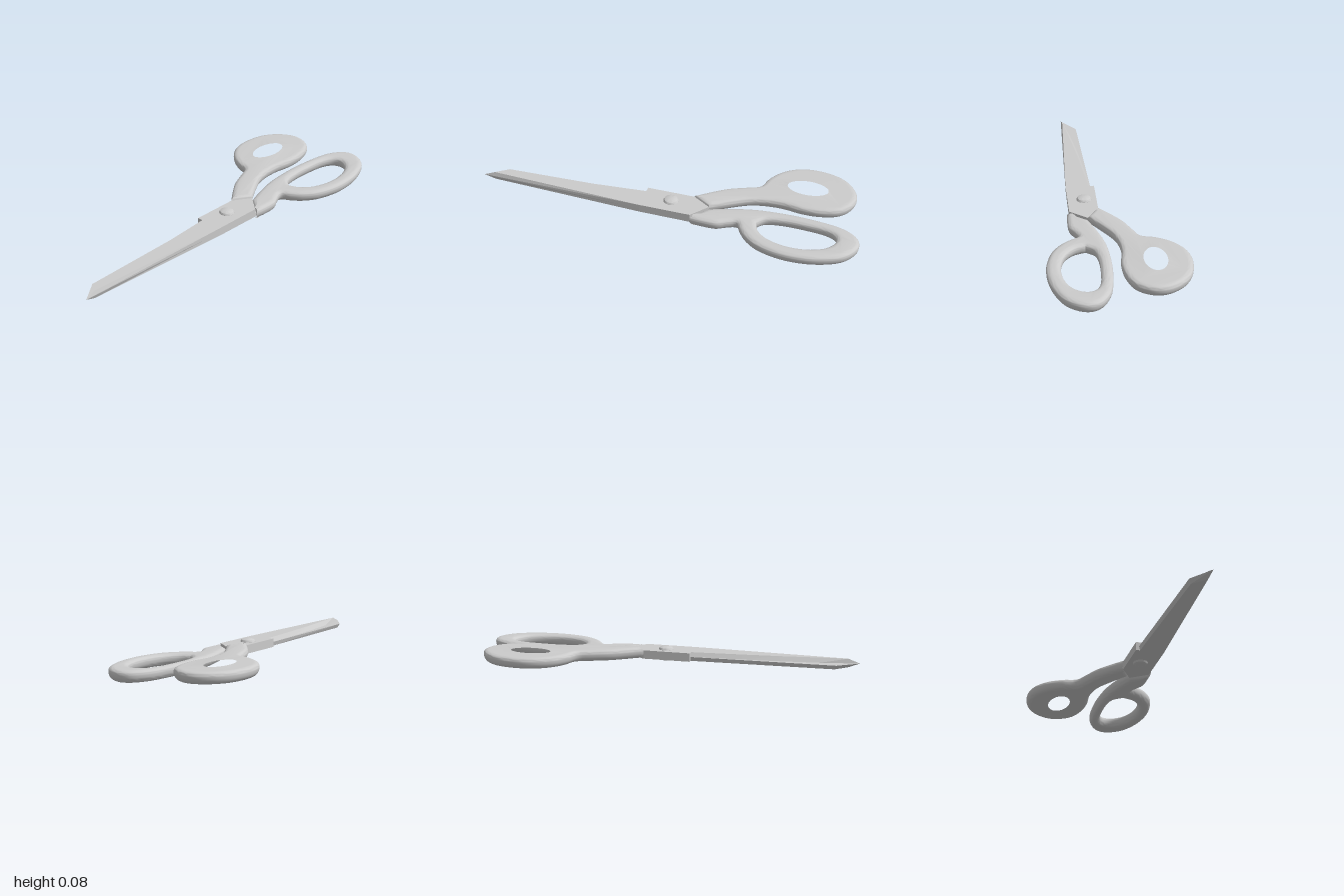
import * as THREE from 'three';
import { toCreasedNormals } from 'three/addons/utils/BufferGeometryUtils.js';

const metal = new THREE.MeshStandardMaterial({ color: 0xcccccc });

// Plan outlines are [x, z]; shapes are drawn with -z up and laid flat
const flat = (pts) => pts.map(([x, z]) => new THREE.Vector2(x, -z));

// Flat-sided solid between a lower and an upper outline of equal length
function slab(name, lower, upper, y0, y1) {
  const pos = [];
  const n = lower.length;
  const lo = (i) => [lower[i % n][0], y0, lower[i % n][1]];
  const hi = (i) => [upper[i % n][0], y1, upper[i % n][1]];
  const tri = (a, b, c) => pos.push(...a, ...b, ...c);
  for (let i = 0; i < n; i++) {
    tri(lo(i), lo(i + 1), hi(i + 1));
    tri(lo(i), hi(i + 1), hi(i));
  }
  for (const [a, b, c] of THREE.ShapeUtils.triangulateShape(flat(upper), [])) tri(hi(a), hi(b), hi(c));
  for (const [a, b, c] of THREE.ShapeUtils.triangulateShape(flat(lower), [])) tri(lo(c), lo(b), lo(a));
  const geo = new THREE.BufferGeometry();
  geo.setAttribute('position', new THREE.Float32BufferAttribute(pos, 3));
  geo.computeVertexNormals();
  const mesh = new THREE.Mesh(geo, metal);
  mesh.name = name;
  return mesh;
}

// Rounded grip with a finger hole; the underside is rounded deeper than the top
function handle(name, outline, hole, y0, height) {
  const pts = flat(outline);
  const shape = new THREE.Shape();
  shape.moveTo(pts[0].x, pts[0].y);
  shape.splineThru(pts.slice(1));
  shape.closePath();
  const loop = new THREE.SplineCurve([...flat(hole), flat(hole)[0]]).getPoints(60);
  shape.holes.push(new THREE.Path(loop.slice(0, -1)));
  const bevel = 0.028;
  let geo = new THREE.ExtrudeGeometry(shape, {
    depth: 0.01, curveSegments: 4, bevelThickness: bevel, bevelSize: bevel,
    bevelOffset: -bevel, bevelSegments: 6,
  });
  geo.rotateX(-Math.PI / 2);
  const p = geo.attributes.position;
  for (let i = 0; i < p.count; i++) {
    const y = p.getY(i);
    const t = y < 0 ? 0.6 * (y + bevel) / bevel
      : y < 0.01 ? 0.6 + 0.1 * y / 0.01
        : 0.7 + 0.3 * (y - 0.01) / bevel;
    p.setY(i, y0 + height * t);
  }
  geo.deleteAttribute('uv');
  geo.deleteAttribute('normal');
  geo = toCreasedNormals(geo, 0.7);
  const mesh = new THREE.Mesh(geo, metal);
  mesh.name = name;
  return mesh;
}

export function createModel() {
  const group = new THREE.Group();
  group.name = 'scissors';

  // Upper blade: hollow-ground edge on the -z side; tang runs into the rear handle
  const root = [[-0.13, 0.05], [0.12, 0.05], [0.2, 0.03], [0.25, 0.08], [0.215, 0.11], [0.14, 0.2], [-0.13, 0.2]];
  const upperEdge = [[-1, 0.17], [-0.8, 0.13], [-0.6, 0.105], [-0.4, 0.087], [-0.13, 0.066]];
  const upperBevel = [[-0.94, 0.165], [-0.78, 0.145], [-0.59, 0.121], [-0.4, 0.102], [-0.13, 0.08]];
  // Corners are listed clockwise seen from above, so reverse for outward faces
  const ccw = (pts) => [...pts].reverse();
  group.add(slab('upperBlade', ccw([...upperEdge, ...root]), ccw([...upperBevel, ...root]), 0.04, 0.063));

  // Lower blade: clipped tip, tang runs into the front handle
  const tang = [[-0.13, 0.05], [0.12, 0.05], [0.215, 0.11], [0.26, 0.13], [0.22, 0.195], [0.14, 0.2], [-0.13, 0.198]];
  const lowerTop = [[-1, 0.17], [-0.89, 0.09], [-0.13, 0.066], ...tang];
  const lowerBottom = [[-0.94, 0.163], [-0.88, 0.1], [-0.13, 0.072], ...tang];
  group.add(slab('lowerBlade', ccw(lowerBottom), ccw(lowerTop), 0.018, 0.04));

  // Pivot screw with a domed head on both sides
  const rivet = [[0, 0.005], [0.022, 0.005], [0.034, 0.009], [0.039, 0.018], [0.039, 0.064], [0.034, 0.073], [0.022, 0.078], [0, 0.078]];
  const pivotGeo = new THREE.LatheGeometry(rivet.map(([r, y]) => new THREE.Vector2(r, y)), 32);
  const pivot = new THREE.Mesh(toCreasedNormals(pivotGeo, 0.5), metal);
  pivot.name = 'pivotScrew';
  pivot.position.set(0.015, 0, 0.115);
  group.add(pivot);

  // Rear handle: round thumb loop
  const thumbHole = [];
  for (let i = 0; i < 16; i++) {
    const a = (i / 16) * Math.PI * 2;
    thumbHole.push([0.665 + 0.136 * Math.cos(a), -0.175 + 0.086 * Math.sin(a)]);
  }
  group.add(handle('thumbHandle', [
    [0.12, 0.05], [0.19, -0.005], [0.27, -0.06], [0.36, -0.1], [0.425, -0.132], [0.45, -0.205], [0.5, -0.28],
    [0.58, -0.335], [0.68, -0.352], [0.79, -0.333], [0.87, -0.28], [0.917, -0.2], [0.912, -0.12],
    [0.86, -0.05], [0.77, -0.016], [0.67, -0.009], [0.57, -0.022], [0.48, -0.018], [0.4, 0.002],
    [0.32, 0.045], [0.215, 0.11],
  ], thumbHole, 0.019, 0.059));

  // Front handle: long finger loop
  group.add(handle('fingerHandle', [
    [0.14, 0.21], [0.21, 0.215], [0.28, 0.212], [0.33, 0.187], [0.377, 0.172], [0.405, 0.215], [0.45, 0.268],
    [0.53, 0.318], [0.66, 0.346], [0.8, 0.335], [0.92, 0.29], [0.98, 0.23], [1, 0.165], [0.975, 0.105],
    [0.9, 0.06], [0.8, 0.04], [0.65, 0.03], [0.5, 0.036], [0.4, 0.052], [0.3, 0.08], [0.215, 0.11],
  ], [
    [0.475, 0.145], [0.497, 0.2], [0.56, 0.25], [0.66, 0.275], [0.76, 0.268], [0.84, 0.235],
    [0.882, 0.18], [0.872, 0.13], [0.81, 0.1], [0.7, 0.09], [0.6, 0.09], [0.515, 0.105],
  ], 0, 0.06));

  return group;
}
